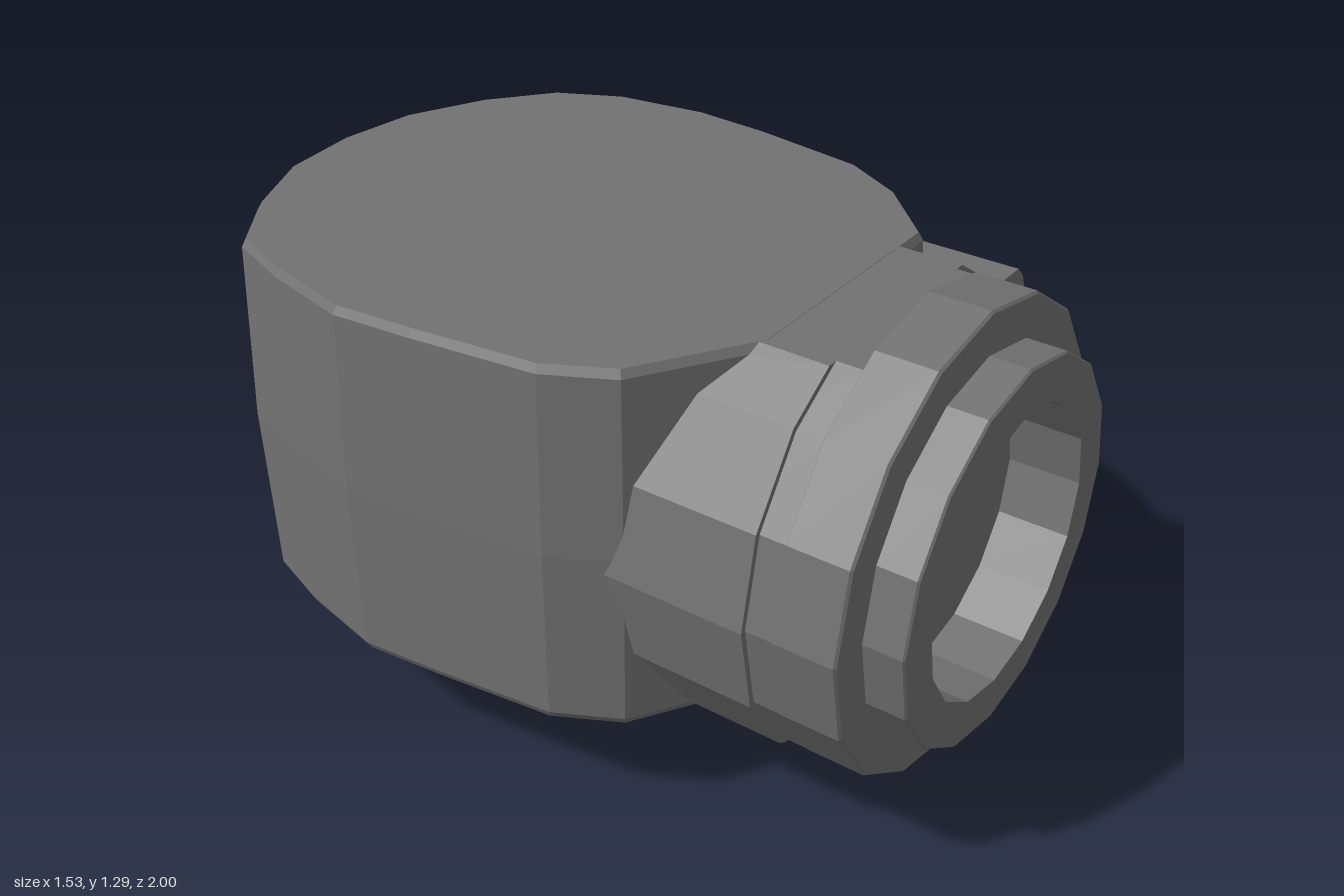
import * as THREE from 'three';

const CX = -0.05, CY = 0.715;
const darkGrey = new THREE.MeshStandardMaterial({ color: 0x727272, flatShading: true });

// Skin a list of equal-length rings and close both ends with fans
function loft(rings) {
  const pos = [];
  const tri = (...p) => p.forEach((v) => pos.push(...v));
  const middle = (r) => [0, 1, 2].map((k) => r.reduce((s, p) => s + p[k], 0) / r.length);
  const n = rings[0].length, last = rings[rings.length - 1];
  const first = rings[0], m0 = middle(first), m1 = middle(last);
  for (let j = 0; j < n; j++) {
    const k = (j + 1) % n;
    for (let i = 0; i < rings.length - 1; i++) {
      const a = rings[i], b = rings[i + 1];
      tri(a[j], a[k], b[k]);
      tri(a[j], b[k], b[j]);
    }
    tri(m0, first[k], first[j]);
    tri(m1, last[j], last[k]);
  }
  const g = new THREE.BufferGeometry();
  g.setAttribute('position', new THREE.Float32BufferAttribute(pos, 3));
  g.computeVertexNormals();
  return g;
}

// Straight prism along z from an xy outline
function prism(points, z0, z1) {
  const shape = new THREE.Shape(points.map(([x, y]) => new THREE.Vector2(x, y)));
  return new THREE.ExtrudeGeometry(shape, { depth: z1 - z0, bevelEnabled: false }).translate(0, 0, z0);
}

// Circle of 16 sides, cut flat level with the housing's top and bottom
function cutCircle(r) {
  const cutX = (dy) => 0.707 * r - (dy - 0.707 * r) * 1.497;
  const up = 1.219 - CY, down = CY - 0.281;
  const right = [
    [cutX(up), up], [0.707 * r, 0.707 * r], [0.924 * r, 0.383 * r], [r, 0],
    [0.924 * r, -0.383 * r], [0.707 * r, -0.707 * r], [cutX(down), -down],
  ];
  const left = right.map(([x, y]) => [-x, y]).reverse();
  return [...right, ...left].map(([x, y]) => [CX + x, CY + y]);
}

// Side panel skinned along z; each station is [z, outer x, low y, high y]
function sidePanel(stations, innerX, c) {
  return loft(stations.map(([z, x, lo, hi]) => [
    [innerX, hi, z], [x - c, hi, z], [x, hi - c, z],
    [x, lo + c, z], [x - c, lo, z], [innerX, lo, z],
  ]));
}

export function createModel() {
  const group = new THREE.Group();
  const add = (name, geometry) => {
    const mesh = new THREE.Mesh(geometry, darkGrey);
    mesh.name = name;
    group.add(mesh);
  };

  // Rounded housing: plan outline, slightly barrelled, with chamfered rims
  const outline = [
    [0.34, 0.54], [0.51, 0.37], [0.60, 0.2], [0.65, -0.12], [0.665, -0.33], [0.63, -0.58],
    [0.545, -0.75], [0.38, -0.88], [0.17, -0.975], [CX, -1], [-0.27, -0.975], [-0.47, -0.88],
    [-0.645, -0.75], [-0.71, -0.57], [-0.765, -0.33], [-0.745, -0.12], [-0.705, 0.2],
    [-0.62, 0.36], [-0.33, 0.54],
  ];
  const levels = [[0.28, 0.967], [0.30, 0.982], [0.75, 1], [1.2, 0.982], [1.22, 0.967]];
  add('housing', loft(levels.map(([y, s]) =>
    outline.map(([x, z]) => [CX + (x - CX) * s, y, -0.15 + (z + 0.15) * s]))));

  // Neck between the housing and the front ring
  add('neck', prism(cutCircle(0.59), 0, 0.68));
  add('neckCollar', prism(cutCircle(0.575), 0.6, 0.75));

  // Pointed cheek on the left side of the neck
  add('neckCheek', prism([
    [0, 0.4], [0.53, 0.4], [0.56, 0.46], [0.65, 0.72], [0.64, 0.77], [0.51, 1.09], [0.48, 1.12], [0, 1.12],
  ], 0.1, 0.71));

  // Front flange, barrel and bore in one turned profile
  const profile = [
    [0, 0.74], [0.57, 0.74], [0.576, 0.746], [0.576, 0.894], [0.57, 0.9], [0.47, 0.9],
    [0.47, 0.995], [0.465, 1], [0.356, 1], [0.356, 0.82], [0, 0.82],
  ].map(([r, z]) => new THREE.Vector2(r, z));
  add('frontRing', new THREE.LatheGeometry(profile, 16).rotateX(Math.PI / 2).translate(CX, CY, 0));

  // Round foot
  add('foot', new THREE.CylinderGeometry(0.356, 0.356, 0.32, 16).translate(CX, 0.16, -0.115));

  // Low frame around the door
  add('doorFrame', sidePanel([
    [0.33, 0.65, 0.48, 1.06], [0.28, 0.655, 0.43, 1.11], [0.2, 0.655, 0.41, 1.125],
    [0.08, 0.655, 0.48, 1.13], [-0.53, 0.662, 0.485, 1.125], [-0.57, 0.658, 0.50, 1.10],
    [-0.595, 0.65, 0.53, 1.05],
  ], 0.5, 0.02));

  // Curved door with a dropped front lower corner
  add('door', sidePanel([
    [0.29, 0.66, 0.50, 1.07], [0.26, 0.675, 0.475, 1.09], [0.23, 0.685, 0.45, 1.09],
    [0.12, 0.725, 0.52, 1.09], [-0.02, 0.752, 0.52, 1.09], [-0.12, 0.765, 0.52, 1.09],
    [-0.25, 0.758, 0.52, 1.09], [-0.36, 0.738, 0.52, 1.09], [-0.46, 0.71, 0.52, 1.09],
    [-0.51, 0.69, 0.52, 1.09], [-0.53, 0.67, 0.535, 1.07],
  ], 0.55, 0.012));

  // Small catch at the back edge of the door
  add('doorCatch', new THREE.BoxGeometry(0.06, 0.1, 0.04).translate(0.635, 0.77, -0.565));

  return group;
}
